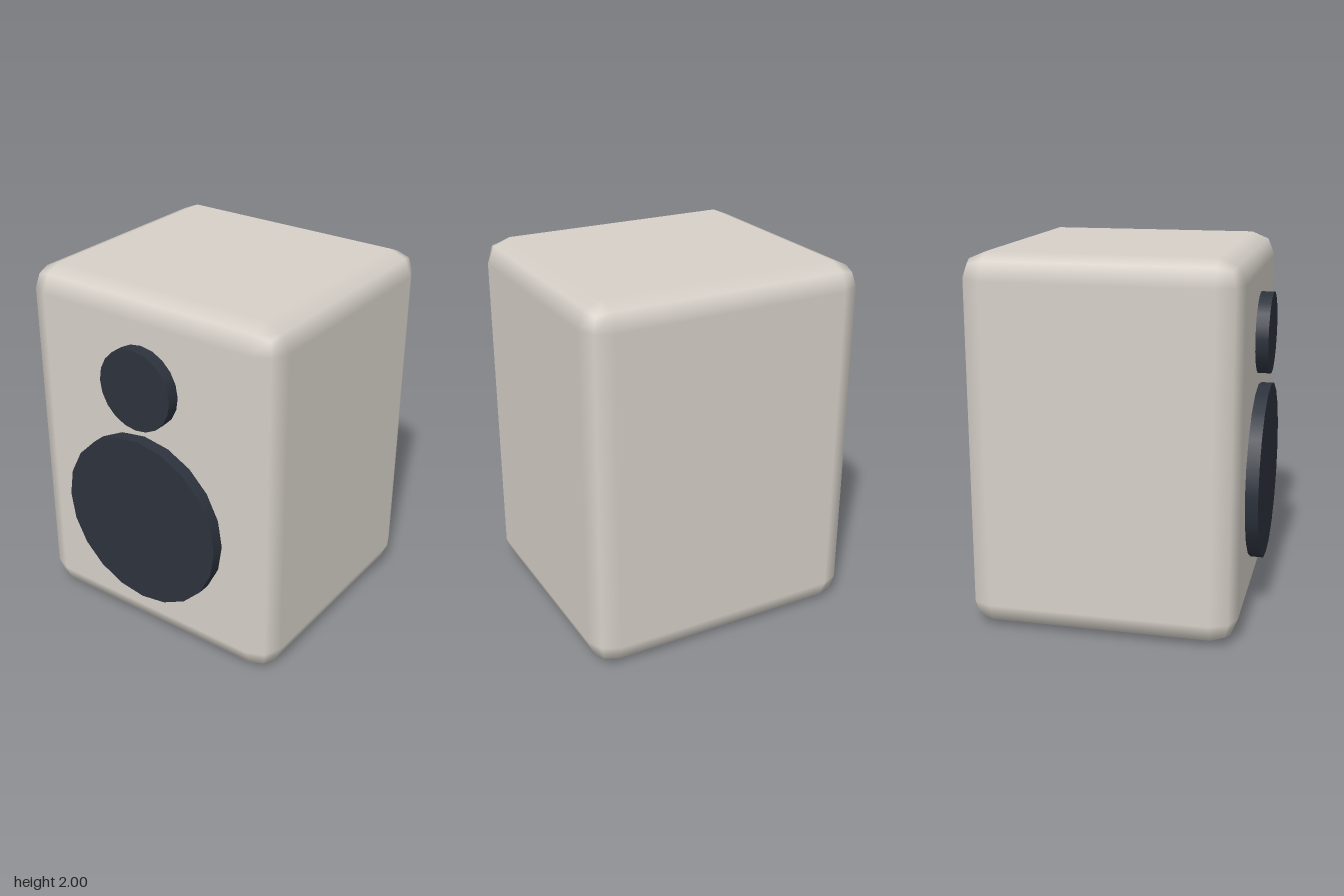
import * as THREE from 'three';
import { RoundedBoxGeometry } from 'three/addons/geometries/RoundedBoxGeometry.js';

const FRONT = 0.688, BACK = -0.757, DISC_FRONT = 0.757;

export function createModel() {
  const group = new THREE.Group();
  group.name = 'speaker';
  const shell = new THREE.MeshStandardMaterial({ color: 0xd6d0c8 });
  const dark = new THREE.MeshStandardMaterial({ color: 0x2d333d });

  // Cabinet with softly bevelled edges
  const cabinet = new THREE.Mesh(new RoundedBoxGeometry(1.555, 2, FRONT - BACK, 1, 0.134), shell);
  cabinet.name = 'cabinet';
  cabinet.position.set(0, 1, (FRONT + BACK) / 2);
  group.add(cabinet);

  // Driver discs, set slightly into the front panel
  const addDriver = (name, radius, y) => {
    const depth = DISC_FRONT - FRONT + 0.02;
    const geometry = new THREE.CylinderGeometry(radius, radius, depth, 20).rotateX(Math.PI / 2);
    const disc = new THREE.Mesh(geometry, dark);
    disc.name = name;
    disc.position.set(0, y, DISC_FRONT - depth / 2);
    group.add(disc);
  };
  addDriver('tweeter', 0.222, 1.525);
  addDriver('woofer', 0.488, 0.748);

  return group;
}
